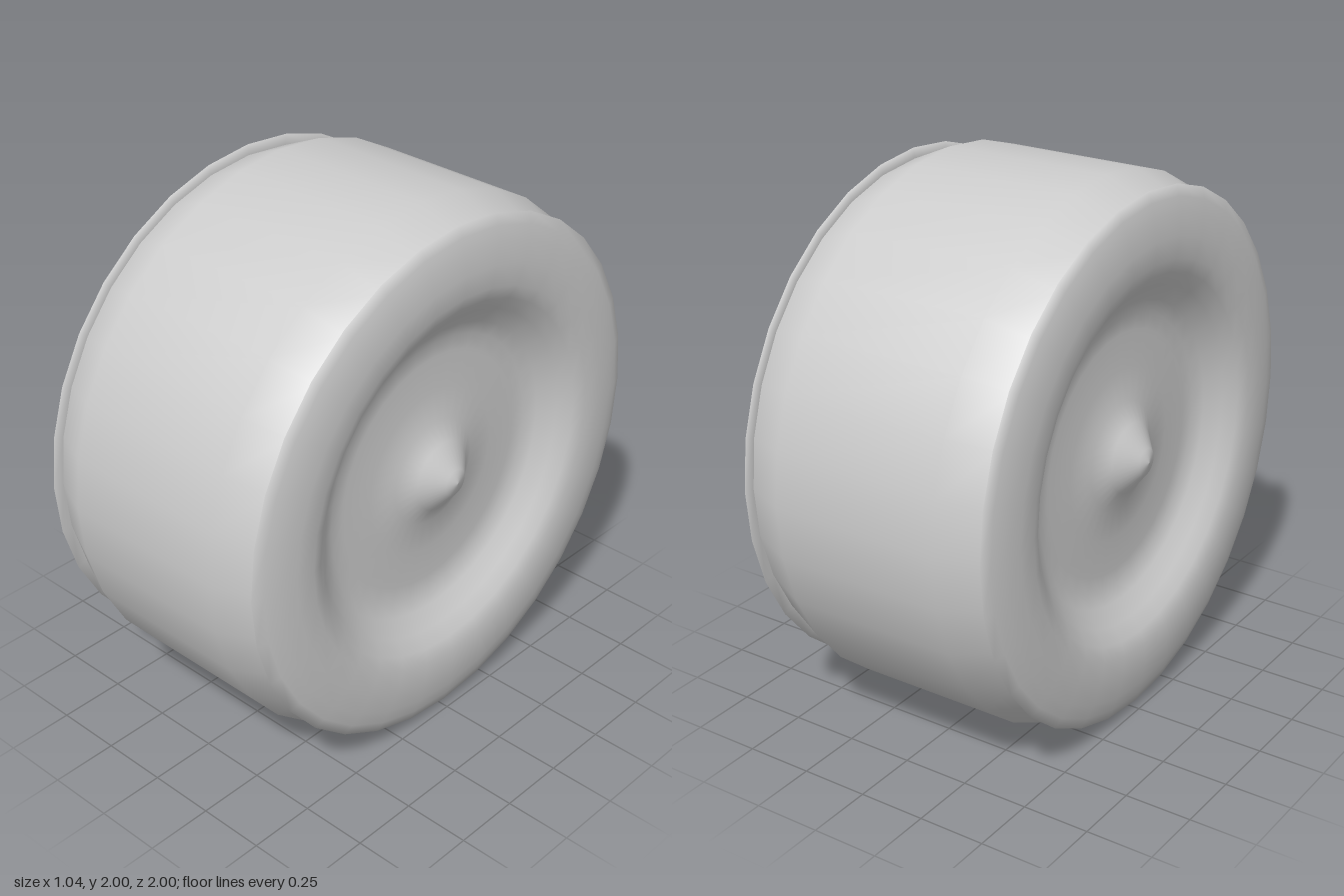
import * as THREE from 'three';

const SEGMENTS = 32;

export function createModel() {
  const model = new THREE.Group();
  model.name = 'wheel';
  const grey = new THREE.MeshStandardMaterial({ color: 0xcccccc, side: THREE.DoubleSide });
  grey.name = 'light grey';

  // Turns a profile of [radius, distance along the axle] around the x axis
  const turn = (name, profile, side) => {
    const points = profile.map(([r, h]) => new THREE.Vector2(r, h));
    const geometry = new THREE.LatheGeometry(points, SEGMENTS);
    geometry.rotateZ(-side * Math.PI / 2);
    const mesh = new THREE.Mesh(geometry, grey);
    mesh.name = name;
    mesh.position.y = 1;
    model.add(mesh);
  };

  // Tread: wide band with tapered shoulders
  turn('tread', [[0.93, -0.48], [1, -0.32], [1, 0.32], [0.93, 0.48]], 1);

  // Side disc: flared rim, rounded lip, dished recess and raised hub cone
  const disc = [
    [0.93, 0.48], [0.97, 0.483], [0.93, 0.497], [0.88, 0.51], [0.8, 0.52],
    [0.72, 0.517], [0.67, 0.498], [0.62, 0.46], [0.56, 0.415], [0.51, 0.393],
    [0.45, 0.388], [0.32, 0.392], [0.2, 0.402], [0.13, 0.44], [0.05, 0.502], [0, 0.515],
  ];
  turn('leftDisc', disc, 1);
  turn('rightDisc', disc, -1);

  return model;
}
